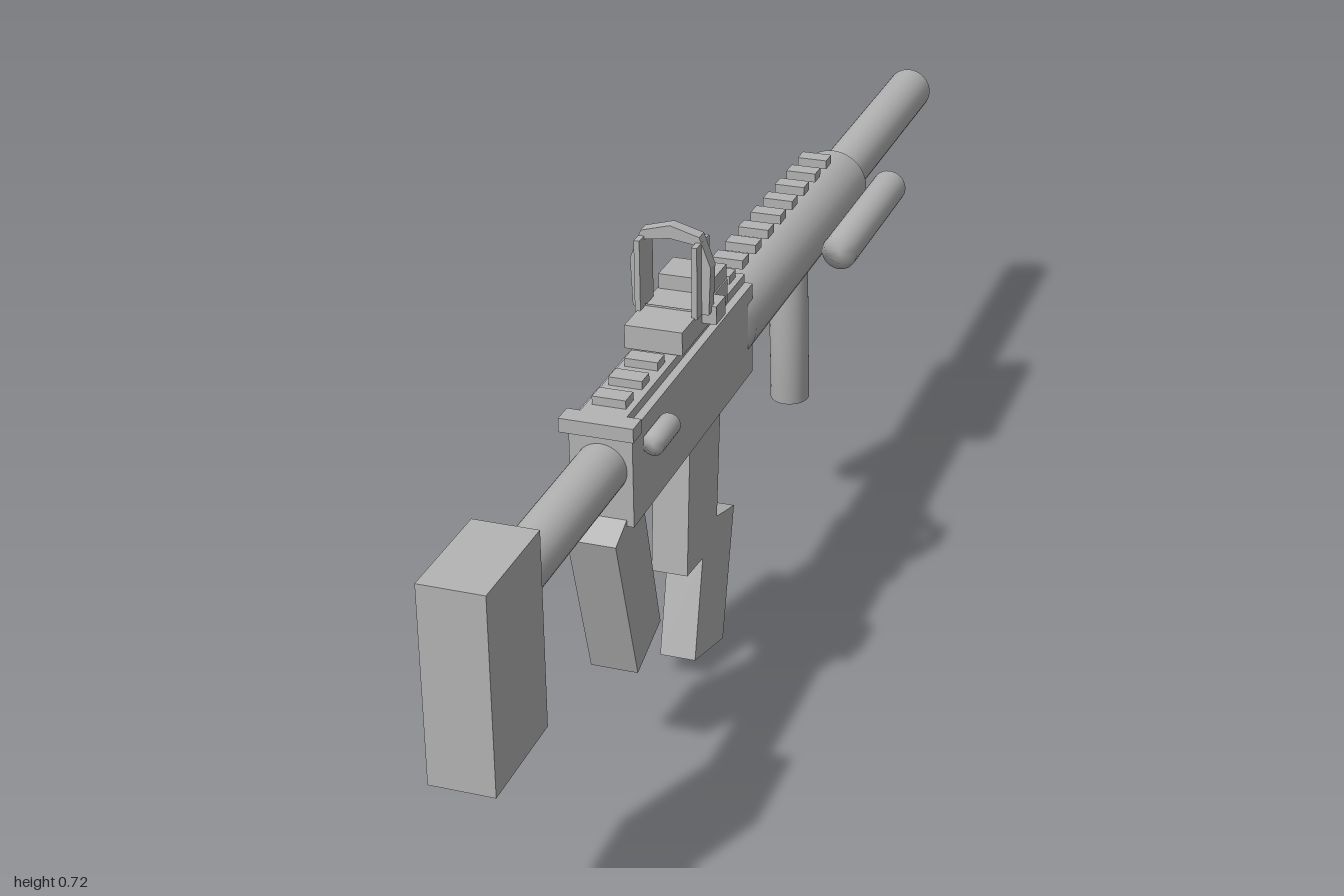
import * as THREE from 'three';
import { mergeVertices } from 'three/addons/utils/BufferGeometryUtils.js';

const CX = -0.026; // centre line of the body
const AXIS_Y = 0.49; // height of the barrel axis

export function createModel() {
  const model = new THREE.Group();
  const grey = new THREE.MeshStandardMaterial({ color: 0xb4b4b4 });
  grey.name = 'plain grey';

  const add = (name, geometry) => {
    const mesh = new THREE.Mesh(geometry, grey);
    mesh.name = name;
    model.add(mesh);
    return mesh;
  };

  // Box given by its limits on each axis
  const box = (name, x0, x1, y0, y1, z0, z1) => {
    const mesh = add(name, new THREE.BoxGeometry(x1 - x0, y1 - y0, z1 - z0));
    mesh.position.set((x0 + x1) / 2, (y0 + y1) / 2, (z0 + z1) / 2);
    return mesh;
  };

  // Rod between two points, with normals running smoothly over its ends
  const rod = (name, from, to, radius, sides = 32) => {
    const a = new THREE.Vector3(...from);
    const b = new THREE.Vector3(...to);
    let geometry = new THREE.CylinderGeometry(radius, radius, a.distanceTo(b), sides);
    geometry.deleteAttribute('uv');
    geometry.deleteAttribute('normal');
    geometry = mergeVertices(geometry, 1e-5);
    geometry.computeVertexNormals();
    const mesh = add(name, geometry);
    mesh.position.copy(a).add(b).multiplyScalar(0.5);
    mesh.quaternion.setFromUnitVectors(new THREE.Vector3(0, 1, 0), b.sub(a).normalize());
    return mesh;
  };

  const toPoints = (list) => list.map(([x, y]) => new THREE.Vector2(x, y));

  // Side profile of (z, y) points, extruded across the width
  const profile = (name, points, width, x = CX) => {
    const geometry = new THREE.ExtrudeGeometry(new THREE.Shape(toPoints(points)), {
      depth: width,
      bevelEnabled: false,
    });
    geometry.translate(0, 0, -width / 2);
    geometry.rotateY(-Math.PI / 2);
    add(name, geometry).position.x = x;
  };

  // Stock and its tube
  box('stock', -0.07, 0.018, 0.295, 0.57, 0.84, 1);
  rod('stockTube', [CX, AXIS_Y, 0.86], [CX, AXIS_Y, 0.5], 0.036);

  // Receiver with its top strip and rear plate
  box('receiver', -0.07, 0.018, 0.41, 0.55, 0.036, 0.532);
  box('receiverStrip', -0.058, 0.006, 0.55, 0.563, 0.036, 0.532);
  box('rearPlate', -0.077, 0.026, 0.543, 0.563, 0.518, 0.549);
  rod('boltHandle', [0.031, 0.514, 0.492], [0.031, 0.514, 0.428], 0.016, 24);

  // Handguard, barrel and side tube
  rod('handguard', [CX, AXIS_Y, 0.058], [CX, AXIS_Y, -0.52], 0.057);
  rod('barrel', [CX, AXIS_Y - 0.001, -0.5], [CX, AXIS_Y - 0.001, -1], 0.038);
  rod('sideTube', [0.056, 0.475, -0.28], [0.056, 0.475, -0.57], 0.028);
  rod('foregrip', [CX, 0.46, -0.277], [CX, 0.21, -0.292], 0.031);

  // Row of rail teeth
  for (let i = 0; i < 16; i++) {
    const z = -0.416 + i * 0.06;
    box('railTooth', -0.05, -0.003, 0.561, 0.575, z - 0.014, z + 0.014);
  }

  // Pistol grip and stepped magazine
  profile('rearGrip', [[0.574, 0.4], [0.504, 0.168], [0.413, 0.198], [0.472, 0.42], [0.53, 0.42]], 0.068);
  profile('magazine', [
    [0.263, 0.42], [0.282, 0.195], [0.215, 0.188], [0.253, 0.037],
    [0.127, 0.002], [0.073, 0.202], [0.151, 0.224], [0.13, 0.42],
  ], 0.054);

  // Sight base, front block and knob
  box('sightBase', -0.068, 0.015, 0.566, 0.6, 0.14, 0.33);
  box('sightBlock', -0.066, 0.013, 0.59, 0.622, 0.139, 0.2);
  box('sightKnob', 0.012, 0.036, 0.58, 0.607, 0.21, 0.25);

  // Sight hoop: angular arch, half outline mirrored about the centre line
  const arch = (half) => [
    ...half.map(([x, y]) => [-x, y]),
    ...half.slice().reverse(),
  ];
  const outer = [[0.055, 0.598], [0.058, 0.668], [0.042, 0.711], [0, 0.723]];
  const inner = [[0.043, 0.603], [0.043, 0.688], [0.036, 0.699], [0, 0.704]];
  const hoopShape = new THREE.Shape(toPoints(arch(outer)));
  hoopShape.holes.push(new THREE.Path(toPoints(arch(inner))));
  const hoop = new THREE.ExtrudeGeometry(hoopShape, { depth: 0.02, bevelEnabled: false });
  add('sightHoop', hoop).position.set(CX, 0, 0.241);

  // Upright pillars inside the hoop
  for (const side of [-1, 1]) {
    const x = CX + side * 0.041;
    box('sightPillar', x - 0.004, x + 0.004, 0.598, 0.703, 0.228, 0.28);
  }
  return model;
}
